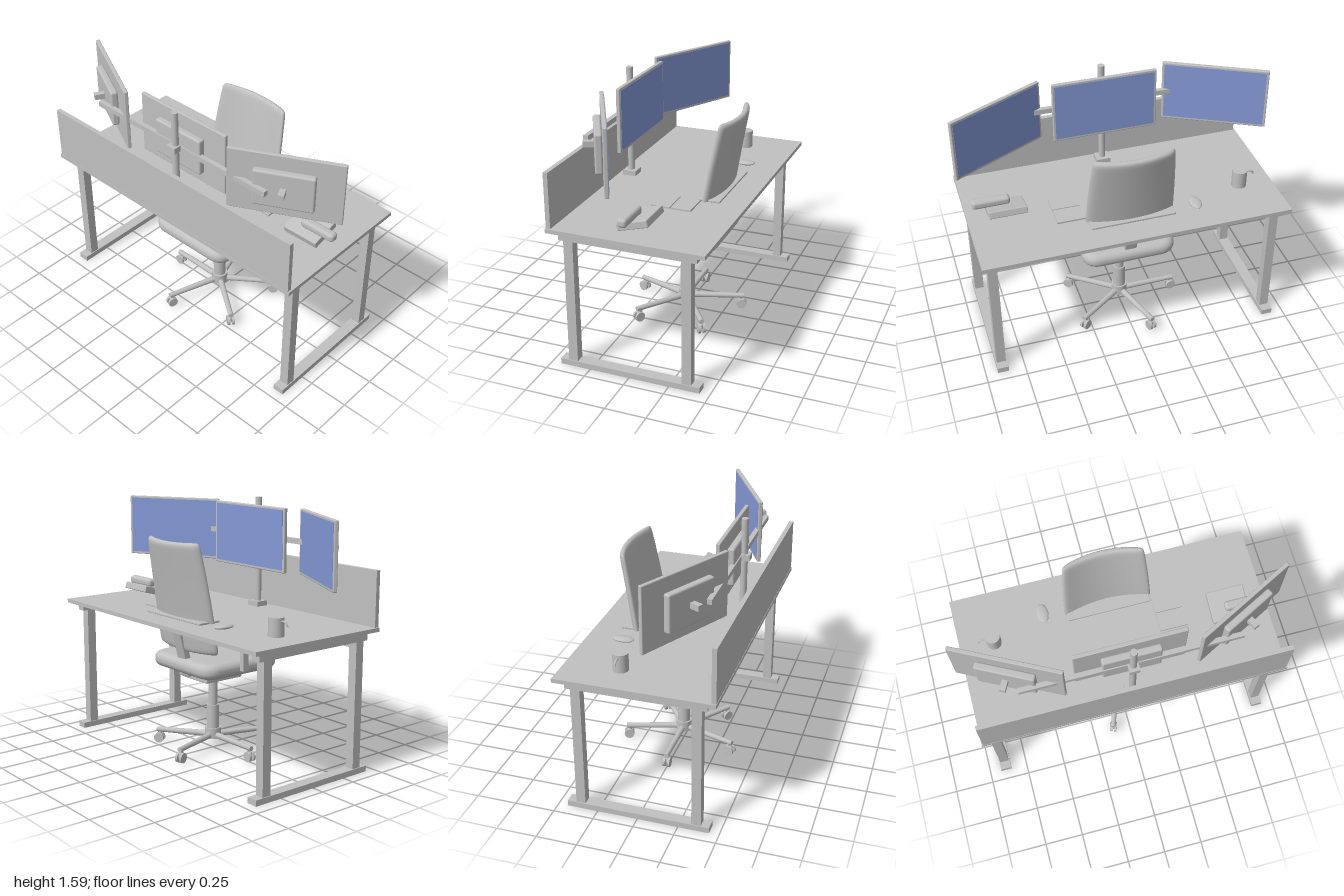
import * as THREE from 'three';
import { RoundedBoxGeometry } from 'three/addons/geometries/RoundedBoxGeometry.js';
import { ParametricGeometry } from 'three/addons/geometries/ParametricGeometry.js';
import { toCreasedNormals } from 'three/addons/utils/BufferGeometryUtils.js';

const grey = new THREE.MeshStandardMaterial({ color: 0xc0c0c0 });
grey.name = 'light grey';
const blue = new THREE.MeshStandardMaterial({ color: 0x8499d6 });
blue.name = 'screen blue';

function add(parent, name, geometry, x = 0, y = 0, z = 0, material = grey) {
  const mesh = new THREE.Mesh(geometry, material);
  mesh.name = name;
  mesh.position.set(x, y, z);
  parent.add(mesh);
  return mesh;
}

function group(parent, name) {
  const g = new THREE.Group();
  g.name = name;
  parent.add(g);
  return g;
}

// Box given by its extents on each axis, rounded when r > 0
function box(parent, name, [x0, x1], [y0, y1], [z0, z1], r = 0, material = grey) {
  const size = [x1 - x0, y1 - y0, z1 - z0];
  const geometry = r ? new RoundedBoxGeometry(...size, 3, r) : new THREE.BoxGeometry(...size);
  return add(parent, name, geometry, (x0 + x1) / 2, (y0 + y1) / 2, (z0 + z1) / 2, material);
}

// Upright cylinder between two heights
function post(parent, name, r, y0, y1, x = 0, z = 0) {
  return add(parent, name, new THREE.CylinderGeometry(r, r, y1 - y0, 24), x, (y0 + y1) / 2, z);
}

// Horizontal cushion with round plan corners and a rounded rim
function cushion(w, d, h, corner, bevel) {
  const a = w / 2 - bevel, b = d / 2 - bevel, c = corner;
  const s = new THREE.Shape();
  s.moveTo(-a + c, -b).lineTo(a - c, -b).quadraticCurveTo(a, -b, a, -b + c);
  s.lineTo(a, b - c).quadraticCurveTo(a, b, a - c, b);
  s.lineTo(-a + c, b).quadraticCurveTo(-a, b, -a, b - c);
  s.lineTo(-a, -b + c).quadraticCurveTo(-a, -b, -a + c, -b);
  const g = new THREE.ExtrudeGeometry(s, {
    depth: h - 2 * bevel, bevelSize: bevel, bevelThickness: bevel, bevelSegments: 6, curveSegments: 6,
  });
  g.translate(0, 0, -(h - 2 * bevel) / 2);
  g.rotateX(-Math.PI / 2);
  return toCreasedNormals(g, 0.8);
}

function buildDesk(model) {
  const desk = group(model, 'desk');
  box(desk, 'deskTop', [-0.48, 0.48], [0.865, 0.89], [-0.96, 0.96]);
  box(desk, 'privacyPanel', [-0.478, -0.45], [0.89, 1.228], [-0.95, 0.95]);
  box(desk, 'rearBeam', [-0.385, -0.335], [0.775, 0.845], [-0.865, 0.865]);
  for (const s of [-1, 1]) {
    const frame = group(desk, 'endFrame');
    const z = s * 0.89;
    box(frame, 'foot', [-0.44, 0.44], [0, 0.036], [z - 0.035, z + 0.035]);
    box(frame, 'topRail', [-0.42, 0.42], [0.815, 0.865], [z - 0.03, z + 0.03]);
    for (const x of [-0.36, 0.357]) {
      box(frame, 'leg', [x - 0.029, x + 0.029], [0.036, 0.815], [z - 0.029, z + 0.029]);
    }
  }
}

function buildMonitors(model) {
  const stand = group(model, 'monitorStand');
  box(stand, 'poleBase', [-0.415, -0.33], [0.89, 0.922], [-0.045, 0.045]);
  post(stand, 'pole', 0.021, 0.92, 1.59, -0.375);
  box(stand, 'poleClamp', [-0.415, -0.355], [1.332, 1.37], [-0.032, 0.032]);
  box(stand, 'crossBar', [-0.367, -0.337], [1.333, 1.365], [-0.665, 0.665]);

  // Each monitor faces its local +x; the outer two turn inwards
  for (const s of [-1, 0, 1]) {
    const m = group(model, 'monitor');
    m.position.set(s ? -0.222 : -0.303, 1.348, s * 0.695);
    m.rotation.y = s * 0.476;
    box(m, 'monitorCase', [-0.0125, 0.0125], [-0.201, 0.201], [-0.333, 0.333], 0.006);
    box(m, 'monitorScreen', [0.011, 0.0145], [-0.184, 0.187], [-0.318, 0.318], 0, blue);
    box(m, 'monitorBackHousing', [-0.057, -0.012], [-0.122, 0.112], [-0.177, 0.177], 0.012);
    if (s) box(m, 'monitorMount', [-0.12, -0.055], [-0.017, 0.018], [-0.018, 0.018]);
  }
}

// Curved backrest shell, wrapping towards the sitter and leaning back
function backrestGeometry() {
  return new ParametricGeometry((u, v, target) => {
    const a = u * Math.PI * 2, b = (v - 0.5) * Math.PI;
    const s = -Math.sin(a), h = Math.sin(b), t = (h + 1) / 2;
    const endRound = Math.sqrt(Math.max(0, 1 - Math.abs(h) ** 30));
    const sideRound = Math.sqrt(Math.max(0, 1 - Math.abs(s) ** 16));
    const thick = 0.022 * Math.sign(Math.cos(a)) * endRound * sideRound;
    const width = (0.281 - 0.033 * t * t) * (0.92 + 0.08 * endRound);
    const bulge = 0.047 * (1 - s * s);
    const x = 0.187 + 0.1 * t + 0.02 * t * t + bulge + thick;
    target.set(x, 0.69 + 0.685 * t - thick * 0.17 - bulge * 0.15, s * width);
  }, 64, 36);
}

function buildChair(model) {
  const chair = group(model, 'chair');
  add(chair, 'seat', cushion(0.595, 0.6, 0.096, 0.06, 0.045), -0.015, 0.587, 0);
  box(chair, 'seatMechanism', [-0.12, 0.165], [0.48, 0.542], [-0.143, 0.143], 0.008);
  add(chair, 'backrest', backrestGeometry());
  const support = add(chair, 'backSupport', new RoundedBoxGeometry(0.045, 0.305, 0.08, 2, 0.008), 0.238, 0.664, 0);
  support.rotation.z = -0.24;

  for (const s of [-1, 1]) {
    const z = s * 0.327;
    box(chair, 'armPost', [0, 0.04], [0.58, 0.805], [z - 0.016, z + 0.016]);
    box(chair, 'armPad', [-0.16, 0.135], [0.802, 0.833], [z - 0.042, z + 0.042], 0.012);
  }

  post(chair, 'gasLift', 0.03, 0.28, 0.485);
  post(chair, 'liftSleeve', 0.04, 0.12, 0.29);
  post(chair, 'baseHub', 0.051, 0.07, 0.138);

  // Five spokes with twin-wheel casters
  for (let i = 0; i < 5; i++) {
    const spoke = group(chair, 'baseSpoke');
    spoke.rotation.y = Math.PI / 2 + (i * Math.PI * 2) / 5;
    const tube = add(spoke, 'spokeTube', new THREE.CylinderGeometry(0.016, 0.02, 0.345, 16), 0.205, 0.09, 0);
    tube.rotation.z = -Math.PI / 2;
    post(spoke, 'casterStem', 0.011, 0.045, 0.09, 0.355);
    box(spoke, 'casterHood', [0.338, 0.378], [0.035, 0.068], [-0.008, 0.008], 0.005);
    for (const s of [-1, 1]) {
      const wheel = add(spoke, 'casterWheel', new THREE.CylinderGeometry(0.032, 0.032, 0.016, 20), 0.362, 0.036, s * 0.015);
      wheel.rotation.x = Math.PI / 2;
    }
  }
}

function buildDeskItems(model) {
  const items = group(model, 'deskItems');
  box(items, 'keyboard', [0.16, 0.315], [0.89, 0.903], [-0.265, 0.265], 0.003);
  const mouse = add(items, 'mouse', new THREE.SphereGeometry(1, 28, 16), 0.25, 0.902, -0.412);
  mouse.scale.set(0.066, 0.014, 0.038);

  // Open notebook
  box(items, 'notebookPage', [-0.052, 0.066], [0.89, 0.901], [0.272, 0.446]);
  box(items, 'notebookPage', [0.072, 0.198], [0.89, 0.901], [0.272, 0.446]);

  // Mug with a hooked handle
  post(items, 'mug', 0.047, 0.89, 1.002, 0.143, -0.745);
  const hook = new THREE.CatmullRomCurve3([
    new THREE.Vector3(0.143, 0.982, -0.785), new THREE.Vector3(0.143, 0.983, -0.812),
    new THREE.Vector3(0.143, 0.973, -0.83), new THREE.Vector3(0.143, 0.955, -0.837),
  ]);
  add(items, 'mugHandle', new THREE.TubeGeometry(hook, 12, 0.006, 10));

  // Desk phone with the handset resting across it
  const phone = add(items, 'phoneBase', new RoundedBoxGeometry(0.195, 0.045, 0.237, 2, 0.006), 0, 0.936, 0.718);
  phone.rotation.z = 0.27;
  box(items, 'handset', [-0.056, 0.002], [0.95, 1.004], [0.685, 0.92], 0.02);
}

export function createModel() {
  const model = new THREE.Group();
  model.name = 'workstation';
  buildDesk(model);
  buildMonitors(model);
  buildChair(model);
  buildDeskItems(model);
  return model;
}
